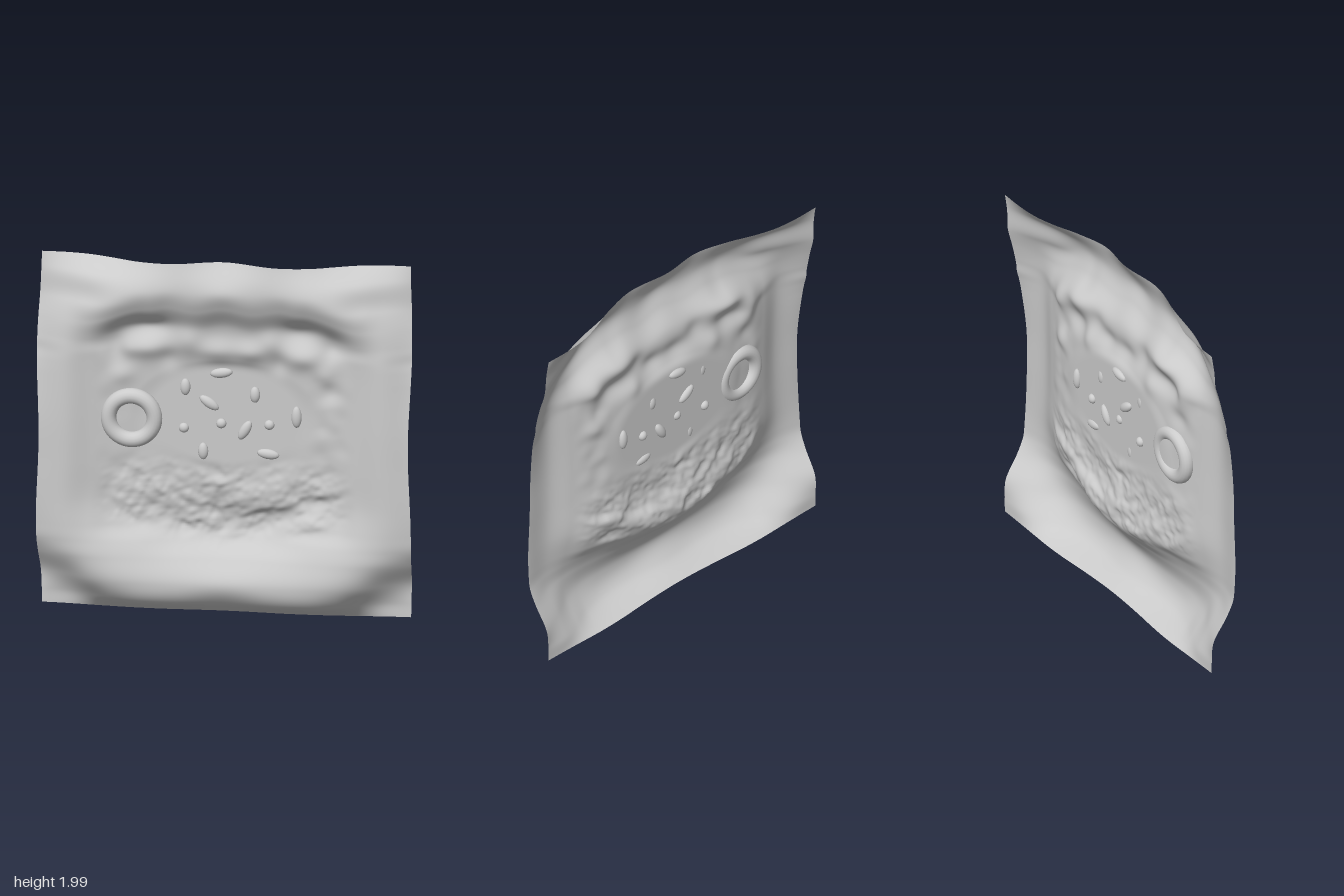
import * as THREE from 'three';

// Relief depths: columns are distances from the centre line, rows are heights
const COLS = [0, 0.25, 0.45, 0.6, 0.72, 0.85, 1];
const ROWS = [0, 0.08, 0.2, 0.33, 0.42, 0.5, 0.65, 0.85, 1.1, 1.35, 1.49, 1.62, 1.74, 1.85, 2];
const DEPTH = [
  [-0.08, -0.085, -0.095, -0.1, -0.1, -0.1, -0.1],
  [0.03, 0.045, 0.04, 0.01, -0.04, -0.085, -0.1],
  [0.085, 0.087, 0.088, 0.078, 0.045, -0.025, -0.09],
  [0.015, 0.035, 0.06, 0.072, 0.07, 0.045, -0.015],
  [-0.06, -0.03, 0.02, 0.045, 0.06, 0.06, 0.025],
  [-0.08, -0.065, -0.03, 0.005, 0.042, 0.06, 0.035],
  [-0.06, -0.055, -0.045, -0.025, 0.017, 0.055, 0.042],
  [-0.047, -0.047, -0.042, -0.02, 0.015, 0.055, 0.042],
  [-0.043, -0.043, -0.035, -0.015, 0.015, 0.055, 0.038],
  [-0.043, -0.04, -0.027, -0.01, 0.018, 0.05, 0.012],
  [-0.02, -0.02, -0.018, -0.008, 0.022, 0.045, -0.012],
  [-0.002, -0.01, -0.018, -0.01, 0.022, 0.038, -0.02],
  [0.068, 0.052, 0.055, 0.057, 0.05, 0.025, -0.045],
  [0.096, 0.08, 0.083, 0.074, 0.045, -0.01, -0.075],
  [0.012, 0.043, 0.005, -0.05, -0.085, -0.1, -0.1],
];

// Lumps and hollows under the upper rim: x, y, width, height, depth
const LUMPS = [
  [-0.03, 1.49, 0.1, 0.06, 0.025], [0.14, 1.49, 0.08, 0.06, 0.025], [-0.19, 1.55, 0.07, 0.07, 0.022],
  [-0.42, 1.5, 0.11, 0.06, 0.028], [0.42, 1.47, 0.1, 0.06, 0.026], [0.24, 1.55, 0.06, 0.06, 0.015],
  [-0.3, 1.44, 0.06, 0.06, -0.016], [0.29, 1.43, 0.05, 0.06, -0.016],
  [-0.4, 1.62, 0.11, 0.05, -0.026], [0.39, 1.61, 0.1, 0.06, -0.026],
  [-0.58, 1.5, 0.06, 0.08, -0.02], [0.57, 1.53, 0.06, 0.08, -0.02],
  [-0.55, 1.35, 0.06, 0.06, 0.014], [0.54, 1.37, 0.05, 0.05, 0.014], [0.57, 1.28, 0.05, 0.05, -0.012],
];

// Smooth curve through unevenly spaced values
function curve(keys, values, t, evenStart) {
  const n = keys.length;
  let i = 0;
  while (i < n - 2 && t > keys[i + 1]) i++;
  const slope = (k) => {
    if (k === 0 && evenStart) return 0;
    const a = Math.max(k - 1, 0), b = Math.min(k + 1, n - 1);
    return (values[b] - values[a]) / (keys[b] - keys[a]);
  };
  const h = keys[i + 1] - keys[i], u = (t - keys[i]) / h, u2 = u * u, u3 = u2 * u;
  return (2 * u3 - 3 * u2 + 1) * values[i] + (u3 - 2 * u2 + u) * h * slope(i)
    + (3 * u2 - 2 * u3) * values[i + 1] + (u3 - u2) * h * slope(i + 1);
}

// Seeded value noise, -1 to 1
function hash(i, j) {
  const s = Math.sin(i * 127.1 + j * 311.7) * 43758.5453;
  return (s - Math.floor(s)) * 2 - 1;
}
function noise(x, y) {
  const i = Math.floor(x), j = Math.floor(y);
  const f = (t) => t * t * (3 - 2 * t);
  const u = f(x - i), v = f(y - j), mix = THREE.MathUtils.lerp;
  return mix(mix(hash(i, j), hash(i + 1, j), u), mix(hash(i, j + 1), hash(i + 1, j + 1), u), v);
}

const step = THREE.MathUtils.smoothstep;

function relief(x, y) {
  const ax = Math.min(Math.abs(x), 1);
  // the lower edge of the upper rim bends down towards the sides
  const band = step(y, 1.42, 1.56) * (1 - step(y, 1.76, 1.92));
  const bend = 0.09 * step(ax, 0.42, 0.75) + 0.012 * Math.cos(ax * 20) * (step(ax, 0.3, 0.45) - 1);
  const row = y + band * bend;
  let z = curve(ROWS, DEPTH.map((depths) => curve(COLS, depths, ax, true)), row, false);

  for (const [cx, cy, w, h, d] of LUMPS) {
    z += d * Math.exp(-(((x - cx) / w) ** 2) - ((y - cy) / h) ** 2);
  }
  // rough crumbly band under the flat centre, its streaks running down to a V
  const low = 0.33 + 0.24 * ax;
  const rough = step(y, low, low + 0.12) * (1 - step(y, 0.72, 0.92)) * (1 - step(ax, 0.5, 0.72));
  const across = y - 0.35 * ax;
  z += rough * (0.015 * noise(x * 6 + y * 2 + 2, across * 11)
    + 0.009 * noise(x * 14 - y * 6, across * 22 + x * 5) + 0.004 * noise(x * 32 + y * 15, y * 36 - x * 14));
  // uneven flanks
  const flank = step(ax, 0.42, 0.54) * (1 - step(ax, 0.58, 0.72)) * step(y, 0.8, 0.95) * (1 - step(y, 1.45, 1.6));
  z += flank * 0.006 * noise(x * 11 + y * 5, y * 12 - x * 4);
  // flat oval centre
  const oval = Math.hypot(x / 0.47, (y - 1.12) / 0.29);
  return THREE.MathUtils.lerp(z, -0.043, 1 - step(oval, 0.85, 1.1));
}

export function createModel() {
  const group = new THREE.Group();
  const grey = new THREE.MeshStandardMaterial({ color: 0xcccccc });
  const add = (name, geometry, material = grey) => {
    const mesh = new THREE.Mesh(geometry, material);
    mesh.name = name;
    group.add(mesh);
    return mesh;
  };

  // Thin embossed sheet with slightly wavy borders
  const sheet = new THREE.PlaneGeometry(2, 2, 180, 180);
  const p = sheet.attributes.position;
  for (let i = 0; i < p.count; i++) {
    const x = p.getX(i), y = p.getY(i) + 1, c = Math.cos(x * Math.PI / 2);
    const wide = 0.983 + 0.015 * Math.sin(Math.PI * y) ** 2;
    const tall = y > 1 ? 0.98 + 0.018 * c ** 4 - 0.012 * Math.sin(x * Math.PI) ** 2 * c
      : 0.982 + 0.009 * Math.sin(x * Math.PI) ** 2;
    p.setXYZ(i, x * wide, 1 + (y - 1) * THREE.MathUtils.lerp(1, tall, Math.abs(y - 1)), relief(x, y));
  }
  sheet.computeVertexNormals();
  add('reliefSheet', sheet, new THREE.MeshStandardMaterial({ color: 0xcccccc, side: THREE.DoubleSide }));

  // Ring set into the sheet
  add('ring', new THREE.TorusGeometry(0.122, 0.042, 16, 40)).position.set(-0.495, 1.1, -0.012);

  // Seeds scattered over the centre: x, y, z, half length, tilt in degrees
  const seeds = [
    [-0.02, 1.36, -0.043, 0.06, 8], [-0.21, 1.28, -0.026, 0.047, 90], [-0.085, 1.19, -0.043, 0.06, -35],
    [0.16, 1.25, -0.03, 0.045, 90], [0.38, 1.13, -0.043, 0.06, 90], [0.105, 1.045, -0.043, 0.06, 60],
    [-0.02, 1.08, -0.036, 0.027, 0], [0.235, 1.08, -0.043, 0.027, 0], [-0.22, 1.045, -0.043, 0.027, 0],
    [-0.115, 0.925, -0.026, 0.047, 90], [0.23, 0.92, -0.034, 0.06, -8],
  ];
  const seedShape = new THREE.SphereGeometry(1, 16, 12);
  for (const [x, y, z, half, tilt] of seeds) {
    const seed = add('seed', seedShape);
    seed.position.set(x, y, z);
    seed.scale.set(half, 0.027, 0.022);
    seed.rotation.z = THREE.MathUtils.degToRad(tilt);
  }
  return group;
}
